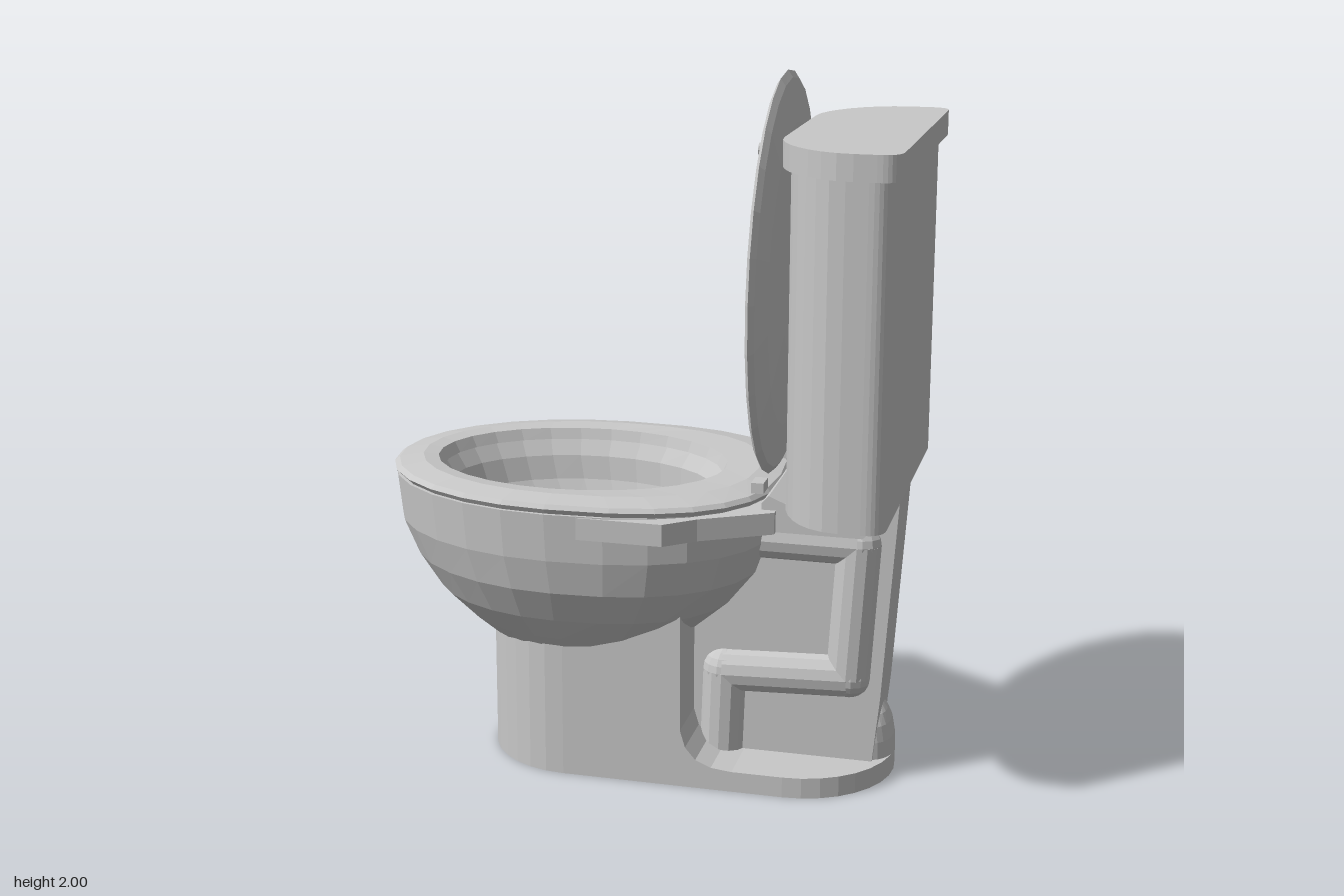
import * as THREE from 'three';

const CZ = 0.013; // symmetry plane of the fixture
const porcelain = new THREE.MeshStandardMaterial({ color: 0xc8c8c8 });
porcelain.name = 'porcelain';
porcelain.flatShading = true;

// Stacks egg-shaped rings [y, xFront, xBack, halfWidth, backFullness]
function loft(rings, closed = false, n = 28) {
  const pos = [], idx = [];
  for (const [y, x0, x1, rz, p = 2] of rings) {
    const cx = (x0 + x1) / 2, rx = (x1 - x0) / 2;
    for (let j = 0; j < n; j++) {
      const t = (j / n) * Math.PI * 2, c = Math.cos(t), s = Math.sin(t);
      const e = c > 0 ? 2 / p : 1;
      pos.push(cx + rx * Math.sign(c) * Math.abs(c) ** e, y, rz * Math.sign(s) * Math.abs(s) ** e);
    }
  }
  const m = rings.length;
  for (let i = 0; i < (closed ? m : m - 1); i++) {
    for (let j = 0; j < n; j++) {
      const k = (j + 1) % n, u = ((i + 1) % m) * n;
      const a = i * n + j, b = u + j, c = i * n + k, d = u + k;
      idx.push(a, b, c, c, b, d);
    }
  }
  if (!closed) {
    const last = (m - 1) * n, c0 = pos.length / 3;
    for (const r of [rings[0], rings[m - 1]]) pos.push((r[1] + r[2]) / 2, r[0], 0);
    for (let j = 0; j < n; j++) {
      const k = (j + 1) % n;
      idx.push(c0, j, k, c0 + 1, last + k, last + j);
    }
  }
  const g = new THREE.BufferGeometry();
  g.setAttribute('position', new THREE.Float32BufferAttribute(pos, 3));
  g.setIndex(idx);
  g.computeVertexNormals();
  return g;
}

// Extrudes a plan outline (x, z) between two heights
function slab(shape, y0, y1) {
  const g = new THREE.ExtrudeGeometry(shape, { depth: y1 - y0, bevelEnabled: false, curveSegments: 8 });
  return g.rotateX(Math.PI / 2).translate(0, y1, 0);
}

// Extrudes a side outline (x, y) symmetrically across the width
function wall(points, half) {
  const shape = new THREE.Shape(points.map(([x, y]) => new THREE.Vector2(x, y)));
  return new THREE.ExtrudeGeometry(shape, { depth: half * 2, bevelEnabled: false }).translate(0, 0, -half);
}

// Tank plan: flat back with small corners, bulging front
function tankPlan(front, back, half) {
  const s = new THREE.Shape(), r = 0.06, mid = back - 0.12;
  s.moveTo(back, -half + r);
  s.lineTo(back, half - r);
  s.quadraticCurveTo(back, half, back - r, half);
  s.lineTo(mid, half);
  s.bezierCurveTo(mid - 0.12, half, front, half - 0.14, front, half - 0.26);
  s.lineTo(front, -half + 0.26);
  s.bezierCurveTo(front, -half + 0.14, mid - 0.12, -half, mid, -half);
  s.lineTo(back - r, -half);
  s.quadraticCurveTo(back, -half, back, -half + r);
  return s;
}

export function createModel() {
  const model = new THREE.Group();
  model.name = 'toilet';
  const body = new THREE.Group();
  body.name = 'body';
  body.position.z = CZ;
  model.add(body);
  const add = (name, geometry, parent = body) => {
    const mesh = new THREE.Mesh(geometry, porcelain);
    mesh.name = name;
    parent.add(mesh);
    return mesh;
  };

  // Foot, pedestal and the curved step between them
  const foot = new THREE.Shape();
  foot.absarc(0.445, 0, 0.275, -Math.PI / 2, Math.PI / 2);
  foot.absarc(-0.195, 0, 0.275, Math.PI / 2, Math.PI * 1.5);
  add('foot', slab(foot, 0, 0.06));
  const ped = new THREE.Shape();
  ped.moveTo(0.15, -0.275);
  ped.lineTo(0.15, 0.275);
  ped.absarc(-0.195, 0, 0.275, Math.PI / 2, Math.PI * 1.5);
  add('pedestal', slab(ped, 0.06, 0.54));
  add('pedestalFillet', wall([[0.14, 0.05], [0.3, 0.06], [0.24, 0.066], [0.195, 0.085],
    [0.165, 0.12], [0.15, 0.17], [0.14, 0.17]], 0.275));

  // Rear post carrying the tank, with the rounded heel at its base
  add('rearPost', wall([[0.1, 0.05], [0.67, 0.05], [0.69, 0.25], [0.73, 0.85], [0.4, 0.85],
    [0.3, 0.8], [0.2, 0.6], [0.1, 0.5]], 0.105));
  add('heel', loft([[0.05, 0.5, 0.721, 0.104, 2.5], [0.11, 0.5, 0.718, 0.104, 2.5],
    [0.155, 0.5, 0.71, 0.1, 2.5], [0.185, 0.5, 0.698, 0.085, 2.5], [0.205, 0.5, 0.685, 0.06, 2.5]]));

  // Trapway pipes on both sides
  const path = [[0.28, 0.708], [0.62, 0.708], [0.597, 0.313], [0.24, 0.298], [0.232, 0.05]]
    .map(([x, y]) => new THREE.Vector3(x, y, 0));
  const radius = 0.068;
  for (const side of [1, -1]) {
    const pipe = new THREE.Group();
    pipe.name = side > 0 ? 'leftTrapway' : 'rightTrapway';
    pipe.position.z = side * 0.082;
    body.add(pipe);
    for (let i = 0; i < path.length - 1; i++) {
      const dir = path[i + 1].clone().sub(path[i]);
      const seg = add('pipeSegment', new THREE.CylinderGeometry(radius, radius, dir.length(), 14), pipe);
      seg.position.copy(path[i]).addScaledVector(dir, 0.5);
      seg.quaternion.setFromUnitVectors(new THREE.Vector3(0, 1, 0), dir.normalize());
      if (i > 0) add('pipeElbow', new THREE.SphereGeometry(radius, 14, 10), pipe).position.copy(path[i]);
    }
  }

  // Bowl: outside, rim, then down inside to the floor
  add('bowl', loft([
    [0.3, -0.38, 0.03, 0.2], [0.36, -0.47, 0.09, 0.25], [0.42, -0.55, 0.17, 0.3, 2.2],
    [0.5, -0.635, 0.255, 0.365, 2.4], [0.6, -0.7, 0.335, 0.42, 2.4], [0.7, -0.745, 0.37, 0.441, 2.4],
    [0.835, -0.76, 0.378, 0.4475, 2.4], [0.835, -0.63, 0.21, 0.31], [0.79, -0.6, 0.175, 0.285],
    [0.72, -0.575, 0.17, 0.275], [0.61, -0.49, 0.15, 0.23],
  ]));

  // Deck wings behind the bowl
  const deck = new THREE.Shape();
  const half = [[-0.1, 0.445], [0.14, 0.445], [0.22, 0.375], [0.41, 0.265]];
  half.forEach(([x, z], i) => (i ? deck.lineTo(x, z) : deck.moveTo(x, z)));
  [...half].reverse().forEach(([x, z]) => deck.lineTo(x, -z));
  for (let i = 0; i <= 12; i++) {
    const t = -1.33 + (2.66 * i) / 12;
    deck.lineTo(-0.21 + 0.46 * Math.cos(t), 0.37 * Math.sin(t));
  }
  add('deck', slab(deck, 0.77, 0.832));

  // Bracket under the tank, cut at a slant behind
  add('tankBracket', wall([[0.37, 0.77], [0.65, 0.77], [0.728, 0.853], [0.435, 0.853],
    [0.39, 0.872], [0.37, 0.85]], 0.245));

  // Seat ring
  add('seat', loft([
    [0.836, -0.62, 0.2, 0.305], [0.836, -0.75, 0.375, 0.44, 2.6], [0.85, -0.765, 0.385, 0.4475, 2.6],
    [0.862, -0.75, 0.375, 0.438, 2.6], [0.874, -0.68, 0.31, 0.375, 2.4], [0.868, -0.637, 0.215, 0.315],
  ], true));

  // Raised lid with bumpers and hinges
  const lid = new THREE.Group();
  lid.name = 'raisedLid';
  lid.position.set(0.358, 1.44, 0);
  lid.rotation.z = -Math.PI / 2 - 0.015;
  body.add(lid);
  add('lidPanel', loft([
    [0, -0.545, 0.545, 0.432, 2.1], [0.01, -0.56, 0.56, 0.4475, 2.1], [0.024, -0.54, 0.54, 0.43, 2.1],
    [0.04, -0.42, 0.42, 0.33, 2.1], [0.048, -0.22, 0.22, 0.17],
  ]), lid);
  for (const side of [1, -1]) {
    const bumper = add('lidBumper', new THREE.CylinderGeometry(0.018, 0.018, 0.012, 10), lid);
    bumper.position.set(-0.38, -0.003, side * 0.26);
    const hinge = add('hinge', new THREE.BoxGeometry(0.035, 0.03, 0.06));
    hinge.position.set(0.35, 0.88, side * 0.18);
  }

  // Tank and its cover
  add('tank', slab(tankPlan(0.435, 0.737, 0.4625), 0.852, 1.785));
  add('tankCover', slab(tankPlan(0.415, 0.76, 0.4875), 1.78, 1.85));

  // Flush lever, tapering to its free end
  const lever = add('flushLever', wall([[0, -0.018], [0.18, -0.004], [0.18, 0.004], [0, 0.018]], 0.011), model);
  lever.position.set(0.452, 1.692, -0.367);
  lever.rotation.y = 0.82;

  return model;
}
